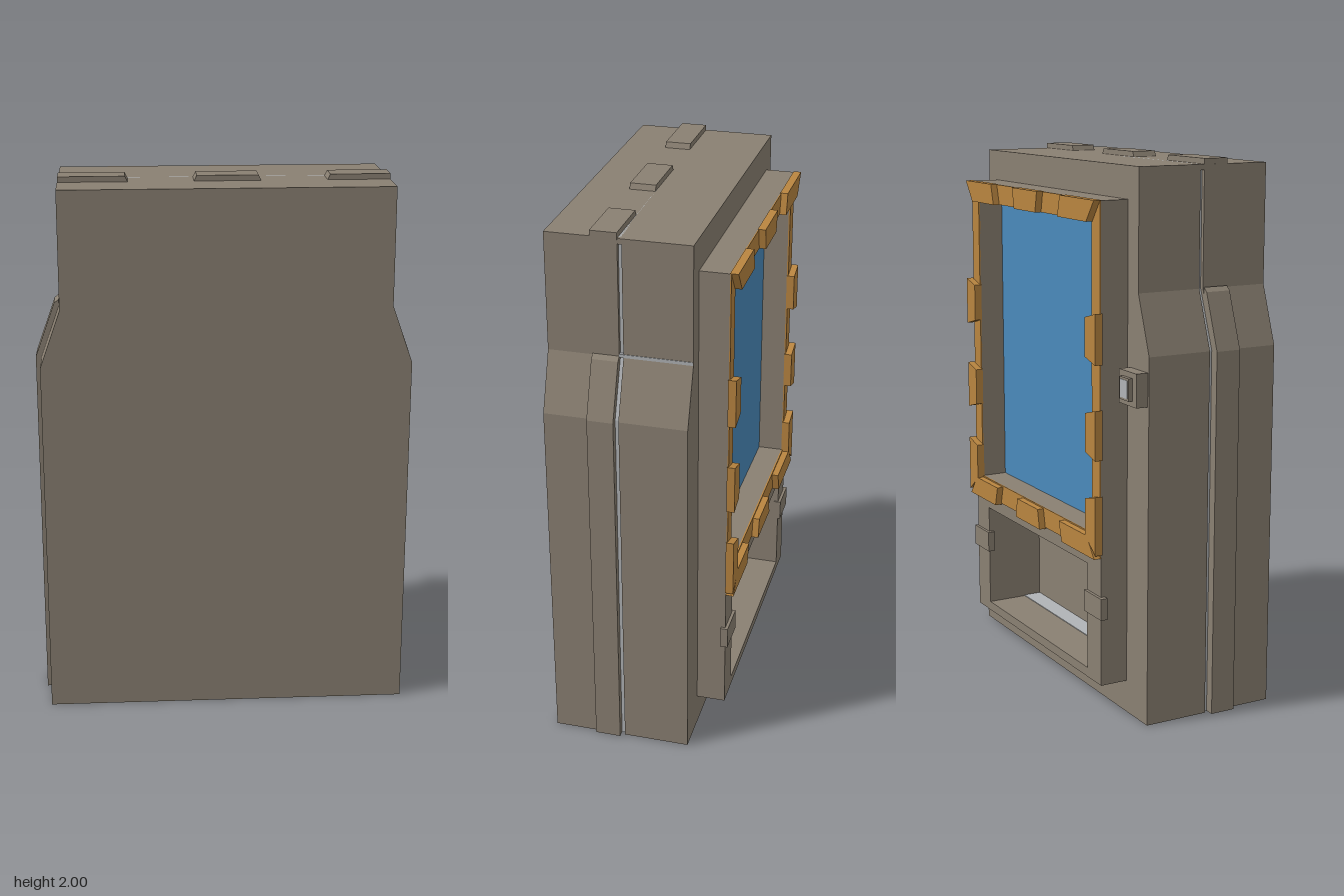
import * as THREE from 'three';

const mat = (color) => new THREE.MeshStandardMaterial({ color, flatShading: true });
const casing = mat(0x8a8072), amber = mat(0xb98540), blue = mat(0x4a8abb), grey = mat(0xb0b3b6);

const shapeOf = (pts) => new THREE.Shape(pts.map(([x, y]) => new THREE.Vector2(x, y)));
const rect = (x0, x1, y0, y1) => [[x0, y0], [x1, y0], [x1, y1], [x0, y1]];

export function createModel() {
  const model = new THREE.Group();

  const add = (name, geometry, material) => {
    const mesh = new THREE.Mesh(geometry, material);
    mesh.name = name;
    model.add(mesh);
    return mesh;
  };
  // Flat outline (with optional rectangular holes) pushed from z0 to z1
  const slab = (name, pts, z0, z1, material = casing, holes = []) => {
    const shape = shapeOf(pts);
    for (const h of holes) shape.holes.push(shapeOf(rect(...h)));
    const geometry = new THREE.ExtrudeGeometry(shape, { depth: z1 - z0, bevelEnabled: false });
    return add(name, geometry.translate(0, 0, z0), material);
  };
  const box = (name, x0, x1, y0, y1, z0, z1, material = casing) =>
    add(name, new THREE.BoxGeometry(x1 - x0, y1 - y0, z1 - z0)
      .translate((x0 + x1) / 2, (y0 + y1) / 2, (z0 + z1) / 2), material);

  // Cabinet outline: wide base, sloped shoulders, narrower head
  const cx = 0.004;
  const outline = (wide, neck) => [
    [cx - wide, 0], [cx + wide, 0], [cx + wide, 1.34], [cx + neck, 1.55],
    [cx + neck, 1.98], [cx - neck, 1.98], [cx - neck, 1.55], [cx - wide, 1.34]];
  const tray = [-0.415, 0.425, 0.155, 0.555];
  slab('cabinetFront', outline(0.672, 0.597), 0.07, 0.325);
  slab('cabinetMiddle', outline(0.672, 0.597), -0.07, 0.055);
  slab('cabinetRear', outline(0.672, 0.597), -0.19, -0.07, casing, [tray]);

  // Narrow seam between the two halves, grey only beside the head
  slab('seamCore', outline(0.66, 0.582), 0.055, 0.07, grey);
  box('seamTop', -0.593, 0.601, 1.96, 1.98, 0.055, 0.07);
  box('shoulderSeam', 0.59, 0.603, 1.55, 1.562, -0.189, 0.07, grey);

  // Raised band up each side, ending on the shoulder
  for (const s of [-1, 1]) {
    const pts = [[0.6, 0], [0.69, 0], [0.69, 1.34], [0.618, 1.54], [0.6, 1.555]]
      .map(([x, y]) => [s * x, y]);
    slab('sideBand', pts, 0.07, 0.165);
  }
  // Pads on the roof, continuing the line of the band
  for (const [x0, x1, a, b] of [[-0.592, -0.34, 0, 0.012], [-0.108, 0.138, 0.012, 0.012], [0.372, 0.602, 0.012, 0]])
    slab('roofPad', [[x0, 1.975], [x1, 1.975], [x1 - b, 2], [x0 + a, 2]], 0.07, 0.165);

  // Rear frame with screen and tray openings
  const view = [-0.46, 0.47, 0.68, 1.79];
  slab('rearFrame', rect(-0.52, 0.53, 0.12, 1.865), -0.296, -0.19, casing, [view, tray]);
  box('screen', -0.46, 0.47, 0.68, 1.79, -0.2, -0.188, blue);
  box('trayFloorStrip', -0.415, 0.425, 0.15, 0.158, -0.14, -0.07, grey);
  box('trayCeilingStrip', -0.415, 0.425, 0.552, 0.56, -0.2, -0.07, grey);

  // Amber trim: a flat border with raised blocks
  slab('screenTrim', rect(-0.52, 0.53, 0.605, 1.865), -0.3, -0.294, amber, [view]);
  const block = (pts) => slab('trimBlock', pts, -0.325, -0.296, amber);
  // Rows above and below the screen: two corner blocks and one centre block
  for (const [outer, inner] of [[1.867, 1.79], [0.6, 0.675]]) {
    block([[-0.522, outer], [-0.27, outer], [-0.25, inner], [-0.465, inner]]);
    block([[-0.09, outer], [0.115, outer], [0.1, inner], [-0.075, inner]]);
    block([[0.3, outer], [0.532, outer], [0.475, inner], [0.28, inner]]);
  }
  // Side columns: two blocks and a lower corner piece on each side
  for (const s of [-1, 1]) {
    const outer = 0.005 + s * 0.535, inner = 0.005 + s * 0.46;
    for (const [y0, y1] of [[1.3, 1.48], [0.96, 1.14]])
      block([[outer, y0], [outer, y1], [inner, y1 - 0.02], [inner, y0 + 0.02]]);
    block([[outer, 0.615], [outer, 0.83], [inner, 0.81], [inner, 0.675]]);
    // Latch beside the tray
    box('trayLatch', Math.min(s * 0.41, s * 0.54), Math.max(s * 0.41, s * 0.54), 0.375, 0.455, -0.307, -0.28);
  }

  // Push button on the back
  box('buttonBase', -0.66, -0.54, 1.165, 1.285, -0.235, -0.19);
  box('buttonRim', -0.632, -0.568, 1.185, 1.265, -0.25, -0.235);
  box('buttonFace', -0.624, -0.576, 1.193, 1.257, -0.252, -0.24, grey);

  return model;
}
